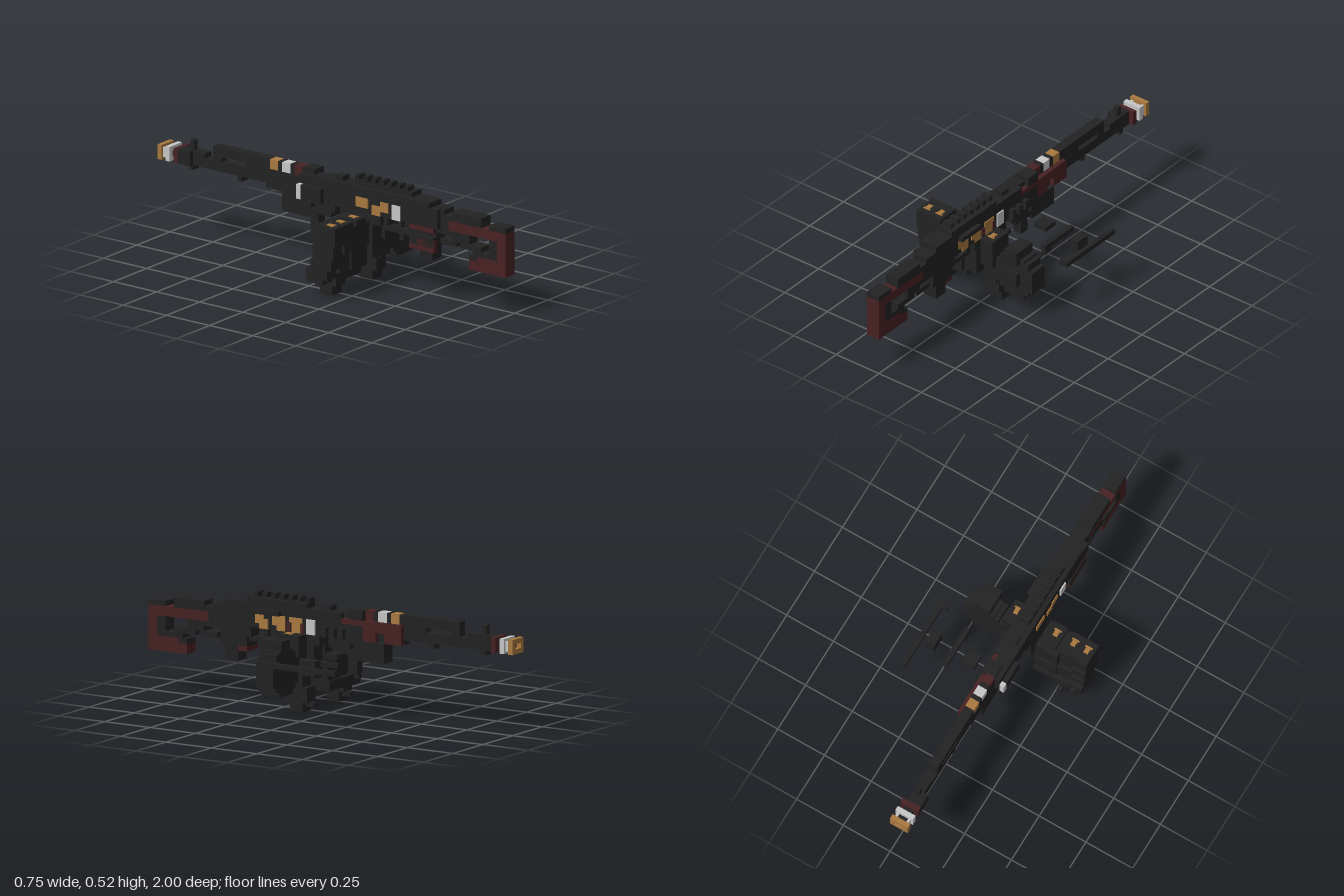
import * as THREE from 'three';

const V = 2 / 85; // one block

const material = (name, color) => {
  const m = new THREE.MeshStandardMaterial({ color });
  m.name = name;
  return m;
};

export function createModel() {
  const black = material('black steel', 0x222222);
  const red = material('dark red', 0x472123);
  const gold = material('gold', 0xa9783f);
  const white = material('pale grey', 0xc6c6c6);
  const model = new THREE.Group();

  // Each row is a block: x0, x1, y0, y1 in blocks, then distance from the butt (towards -z)
  function part(name, mat, rows, grow = 0) {
    const g = new THREE.Group();
    g.name = name;
    for (const [a, b, c, d, e, f] of rows) {
      const geo = new THREE.BoxGeometry((b - a) * V + grow, (d - c) * V + grow, (f - e) * V + grow);
      const mesh = new THREE.Mesh(geo, mat);
      mesh.name = name;
      mesh.position.set((a + b) / 2 * V, (c + d) / 2 * V, 1 - (e + f) / 2 * V);
      g.add(mesh);
    }
    model.add(g);
    return g;
  }

  // Stock
  part('buttPlate', red, [[-3, 0, 8, 17, 0, 2]]);
  part('stockComb', red, [[-3, 0, 15, 17, 2, 14]]);
  part('stockToe', red, [[-3, 0, 8, 11, 2, 7], [-3, 0, 8, 10, 7, 9]]);
  part('stockTop', black, [
    [-3, 0, 17, 18, 0, 4], [-3, 0, 17, 18, 6, 13], [-3, 0, 18, 19, 6, 13],
  ]);
  part('stockFrame', black, [
    [-3, 0, 11, 15, 2, 4], [-3, 0, 11, 12, 4, 8], [-3, 0, 12, 13, 6, 11],
    [-3, 0, 10, 11, 7, 9], [-3, 0, 13, 15, 9, 13], [-3, 0, 14, 15, 13, 17],
    [-3, 0, 12, 13, 12, 16],
  ]);

  // Receiver
  part('receiver', black, [
    [-3, 0, 15, 18, 14, 16], [-4, 0, 15, 19, 16, 45],
    [-3, 0, 17, 18, 13, 14], [-3, 0, 18, 19, 15, 16],
    [-4, 0, 19, 20, 18, 45], [-3, 0, 20, 21, 23, 37], [-3, -1, 20, 21, 40, 42],
  ]);
  const teeth = [];
  for (let k = 24; k < 38; k += 2) teeth.push([-3, -1, 21, 22, k, k + 1]);
  part('topRailTooth', black, teeth);
  part('boltHandle', black, [[0, 1, 18, 19, 25, 31]]);
  part('magazineWell', black, [[-4, -1, 6, 15, 32, 38], [-4, 0, 13, 15, 30, 40]]);

  // Painted receiver panels, right-hand and left-hand sides
  const t = 0.2;
  part('goldPanel', gold, [
    [0, t, 16, 18, 25, 27], [0, t, 15, 17, 26, 28],
    [0, t, 16, 18, 29, 32], [0, t, 15, 16, 30, 32],
    [0, t, 17, 18, 33, 36], [0, t, 15, 17, 33.5, 35.5],
    [-4 - t, -4, 16, 18, 28, 30], [-4 - t, -4, 15, 17, 30, 32],
    [-4 - t, -4, 16, 18, 33, 36],
  ]);
  part('palePanel', white, [[0, 0.3, 15, 18, 37, 39], [-4.3, -4, 15, 18, 25, 27]]);
  part('redPanel', red, [[0, t, 15, 17, 32.4, 33.2], [0, t, 15, 17, 35.7, 36.3]]);

  // Grip and trigger
  part('grip', black, [
    [-3, 0, 13, 15, 17, 24], [-4, 0, 11, 13, 17, 23],
    [-3, 0, 9, 11, 18, 21], [-3, 0, 8, 9, 18, 21],
  ]);
  part('gripPanel', red, [[-4, 0, 10, 11, 21, 23], [-4, -3, 10, 12.4, 16.8, 21], [-4, -3, 14, 15, 17, 23]]);
  part('triggerGuard', black, [
    [-3, -1, 12, 13, 23, 30], [-3, -1, 13, 15, 29, 31], [-2.5, -1.5, 13, 15, 26, 27],
  ]);

  // Handguard
  part('handguardCore', black, [
    [-4, -1, 15, 20, 45, 50], [-3, -1, 15, 19, 50, 59],
    [-3, 0, 19, 21, 47, 50], [-3, -1, 19, 21, 52, 53], [-3, -1, 19, 21, 55, 56],
  ]);
  part('handguardShell', red, [
    [-1, 0, 18, 19, 43.5, 50], [-1, 0, 15, 19, 50, 53], [-1, 0, 17, 19, 53, 55],
    [-1, 0, 15, 19, 55, 59], [-3, -1, 19, 21, 50, 52],
  ]);
  part('paleBand', white, [[-3, -1, 19, 21, 53, 55]]);
  part('goldBand', gold, [[-3, -1, 19, 21, 56, 58]]);
  part('sideRail', black, [
    [-1, 0, 15, 18, 45, 50], [0, 1, 15, 17, 41, 42], [0, 1, 15, 17, 43, 44], [0, 1, 15, 17, 45, 46],
  ]);
  part('underRail', black, [
    [-3, 0, 13, 15, 42, 47], [-3, 0, 14, 15, 47, 55], [-3, 0, 11, 14, 48, 55], [-3, 0, 12, 13, 43, 48],
  ]);
  part('foreGrip', black, [[-3, -1, 8, 12, 46, 48], [-3, -1, 10, 11, 42, 43]]);

  // Sight block on the left side
  part('sideSight', black, [[-5, -4, 15, 18, 44, 49]]);
  part('sideSightLens', white, [[-5, -4, 15, 18, 49, 50]]);

  // Barrel
  part('barrelShroud', black, [
    [-3, -1, 19, 21, 58, 72], [-3, -1, 18, 19, 59, 64], [-3, -1, 18, 19, 70, 72],
  ]);
  part('barrel', black, [
    [-3, -1, 16, 18, 59, 80], [-3, -1, 18, 19, 74, 80],
    [-3, -1, 15, 16, 65, 66], [-3, -1, 15, 16, 77, 78],
    [-2.5, -1.5, 19, 21, 77, 78], [-4, -3, 16, 19, 77, 80],
  ]);

  // Muzzle: hollow square rings around a core
  const ring = (k) => [
    [-4, 0, 16, 17, k, k + 1], [-4, 0, 18, 19, k, k + 1],
    [-4, -3, 17, 18, k, k + 1], [-1, 0, 17, 18, k, k + 1],
  ];
  part('muzzleRedRing', red, ring(80));
  part('muzzlePaleRing', white, ring(82));
  part('muzzleGoldRing', gold, ring(84));
  part('muzzleCore', black, [[-3, -1, 17, 18, 80, 84]]);
  part('muzzleLink', white, [[-3.5, -3, 16.5, 18.5, 83, 84], [-1, -0.5, 16.5, 18.5, 83, 84]]);

  // Loose magazines, stepping forwards towards the foot: y0, y1, near, far
  function magazine(name, x, steps, ridge) {
    const rows = steps.map(([c, d, e, f]) => [x, x + 3, c, d, e, f]);
    if (ridge) rows.push([x + 1, x + 2, ridge, ridge + 1, 37, 40]);
    part(name, black, rows);
    part(name + 'Cartridge', gold, [
      [x + 1, x + 2, 15, 15.2, 33.2, 34.8], [x + 0.7, x + 2.3, 15, 15.1, 33.2, 33.6],
    ]);
  }
  const long = [[9, 15, 32, 37], [5, 9, 33, 38], [2, 5, 34, 39], [0, 2, 35, 38]];
  magazine('curvedMagazine', -16,
    [[11, 15, 32, 37], [8, 11, 32.5, 37.5], [6, 8, 33, 38], [4, 6, 34, 39], [3, 4, 35, 39]], 4);
  magazine('longMagazine', -13, long, 1);
  magazine('sideMagazine', 0, long, 1);
  magazine('wideMagazine', -9, [[12, 15, 32, 37]]);
  part('wideMagazineBody', black, [
    [-10, -5, 9, 14, 32, 38], [-10, -5, 5, 9, 32.5, 38.5], [-10, -5, 3, 5, 34, 39],
  ]);

  // Drum magazine: stacked slabs in a rounded outline
  part('drum', black, [
    [5, 10, 4, 13, 33, 37], [4, 11, 5, 12.5, 33, 37], [3, 12, 6, 11, 33, 37], [9, 11, 11, 12, 33, 37],
  ]);
  part('drumHub', black, [[6, 9, 7, 10, 32, 33]]);
  part('drumFeed', black, [[6, 9, 12, 15, 32, 37]]);

  // Loose rails and mounts
  part('smallMount', black, [[3, 6, 12, 13, 37, 40].map((n, i) => (i > 3 ? n + 8 : n))]);
  part('shortRail', black, [[8, 9, 11, 12, 41, 50], [8, 9, 10, 11, 41, 43]]);
  part('blockMount', black, [[12, 14, 10, 13, 45, 48]]);
  part('longRail', black, [[15, 16, 11, 12, 39, 54], [14, 15, 11, 12, 39, 40]]);

  return model;
}
